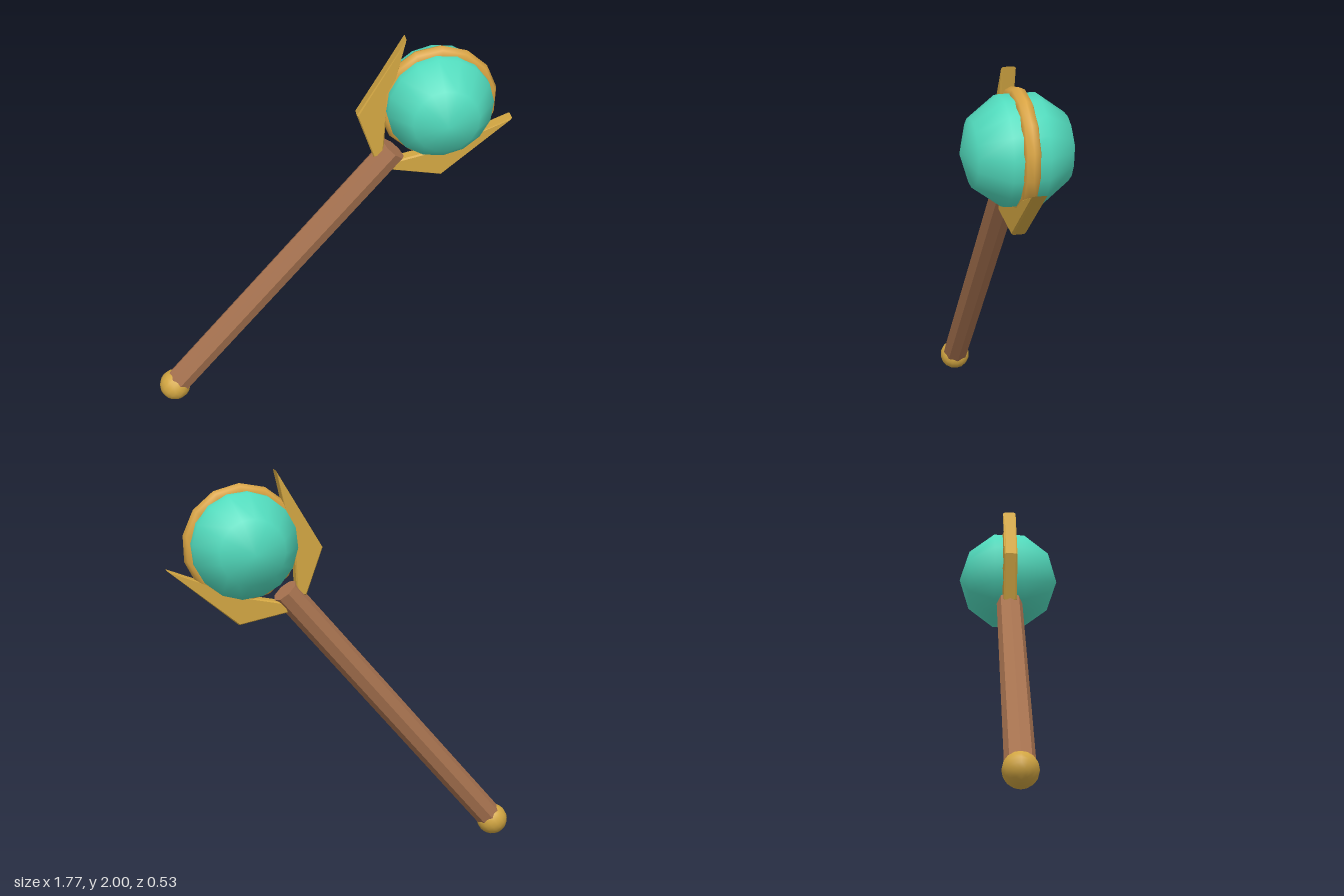
import * as THREE from 'three';

export function createModel() {
  const material = (name, color) => {
    const m = new THREE.MeshStandardMaterial({ color });
    m.name = name;
    return m;
  };
  const wood = material('wood', 0xa87350);
  const gold = material('gold', 0xd2a642);
  const ringGold = material('warmGold', 0xdaa544);
  const teal = material('teal', 0x52dcbe);

  // The staff is built upright along y from its pommel, then tilted to the right.
  const staff = new THREE.Group();
  staff.name = 'staff';
  staff.position.set(-0.81, 0.08, 0);
  staff.rotation.z = -THREE.MathUtils.degToRad(40);

  const add = (name, geometry, mat, y = 0) => {
    const mesh = new THREE.Mesh(geometry, mat);
    mesh.name = name;
    mesh.position.y = y;
    staff.add(mesh);
    return mesh;
  };

  // Octagonal shaft with hard facets
  const shaftLength = 1.743;
  const shaft = new THREE.CylinderGeometry(0.068, 0.068, shaftLength, 8).toNonIndexed();
  shaft.computeVertexNormals();
  add('shaft', shaft, wood, shaftLength / 2);

  // Ball at the foot
  add('pommel', new THREE.SphereGeometry(0.08, 16, 10), gold);

  // Orb with its poles facing front and back, held in a thin ring
  const headY = 2.062;
  add('orb', new THREE.SphereGeometry(0.265, 16, 5).rotateX(Math.PI / 2), teal, headY);
  add('ring', new THREE.TorusGeometry(0.244, 0.04, 8, 14), ringGold, headY);

  // Pair of bevelled claws, mirrored across the shaft
  const outline = [[0.06, 1.66], [0.271, 1.782], [0.342, 2.215], [0.155, 1.86], [0.034, 1.7]];
  for (const side of [1, -1]) {
    const points = outline.map(([x, y]) => new THREE.Vector2(side * x, y));
    const claw = new THREE.ExtrudeGeometry(new THREE.Shape(points), {
      depth: 0.05, bevelEnabled: true, bevelThickness: 0.009,
      bevelSize: 0.006, bevelOffset: -0.006, bevelSegments: 1,
    });
    claw.translate(0, 0, -0.025);
    add(side > 0 ? 'leftClaw' : 'rightClaw', claw, gold);
  }

  const model = new THREE.Group();
  model.name = 'orbStaff';
  model.add(staff);
  return model;
}
